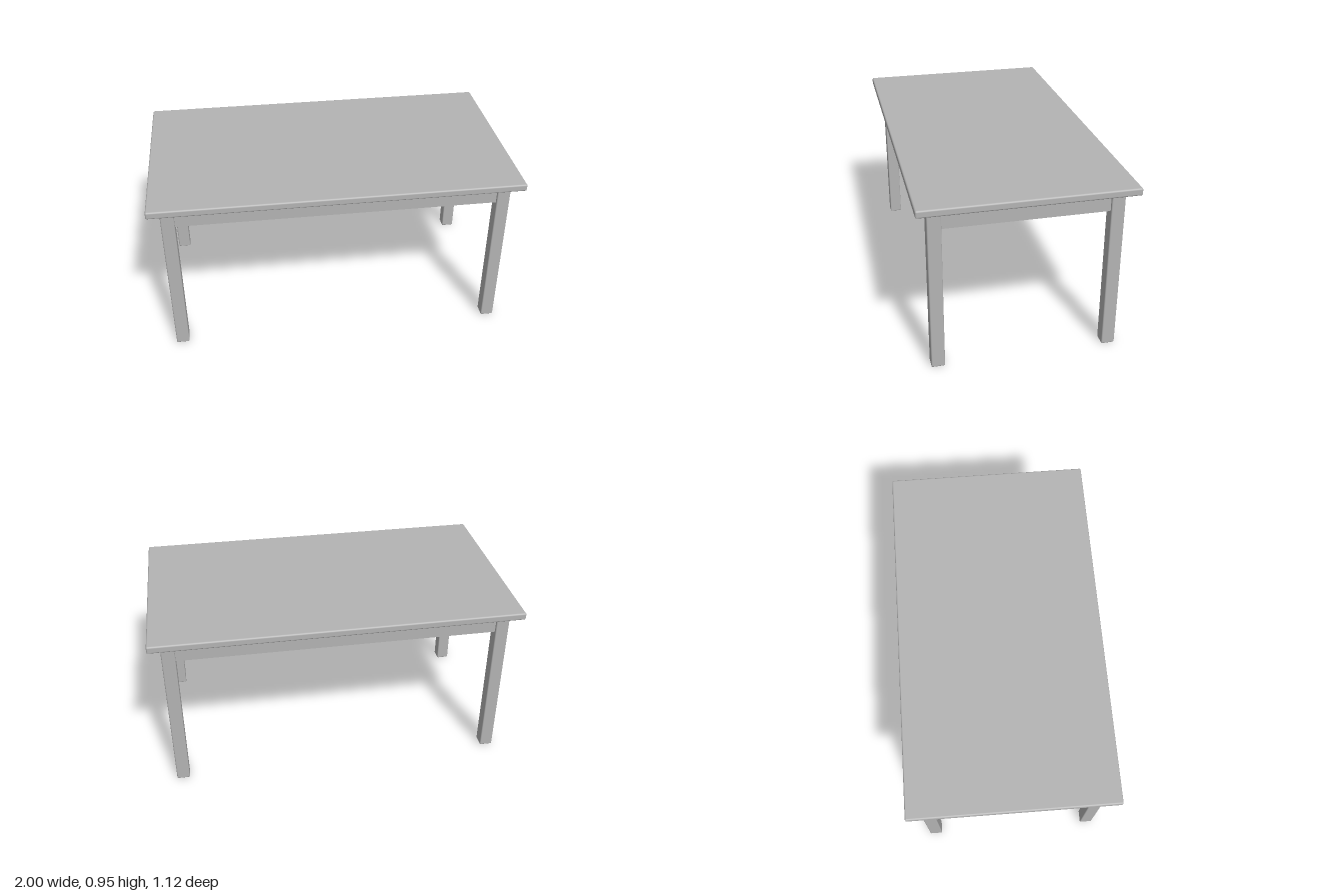
import * as THREE from 'three';
import { RoundedBoxGeometry } from 'three/addons/geometries/RoundedBoxGeometry.js';

const grey = new THREE.MeshStandardMaterial({ color: 0xb4b4b4 });
grey.name = 'grey';

// Add a named part whose underside sits at height y
function addPart(group, name, geometry, height, x, y, z) {
  const mesh = new THREE.Mesh(geometry, grey);
  mesh.name = name;
  mesh.position.set(x, y + height / 2, z);
  group.add(mesh);
}

export function createModel() {
  const table = new THREE.Group();
  table.name = 'table';

  const legHeight = 0.907, legWidth = 0.072;
  const topThickness = 0.04, apronHeight = 0.108;
  const legX = 0.9, legZ = 0.464;

  // Table top with softly rounded edges
  addPart(table, 'tableTop', new RoundedBoxGeometry(2, topThickness, 1.12, 3, 0.009),
    topThickness, 0, 0.91, 0);

  // Solid apron block, set slightly in from the outer leg faces
  const inset = 0.013;
  const apronWidth = 2 * legX + legWidth - 2 * inset;
  const apronDepth = 2 * legZ + legWidth - 2 * inset;
  addPart(table, 'apron', new THREE.BoxGeometry(apronWidth, apronHeight, apronDepth),
    apronHeight, 0, 0.803, 0);

  // Four square legs
  const legGeometry = new RoundedBoxGeometry(legWidth, legHeight, legWidth, 3, 0.007);
  for (const [sx, side] of [[1, 'Left'], [-1, 'Right']]) {
    for (const [sz, end] of [[1, 'front'], [-1, 'back']]) {
      addPart(table, `${end}${side}Leg`, legGeometry, legHeight, sx * legX, 0, sz * legZ);
    }
  }
  return table;
}
